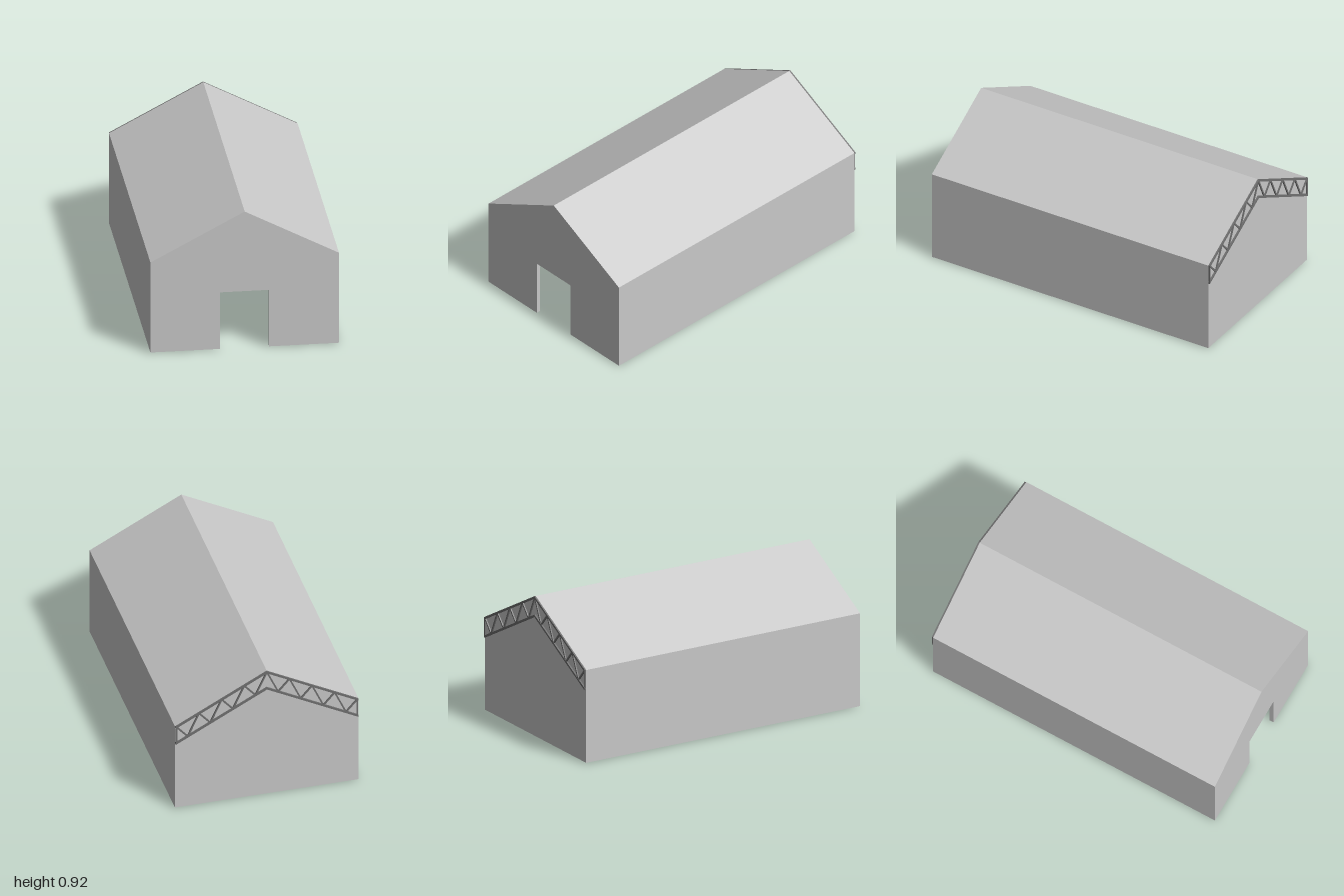
import * as THREE from 'three';

const HALF = 0.585, EAVE = 0.61, RIDGE = 0.92, FRONT = 1, BACK = -0.99, BASE = 0.005;
const SKIN = 0.006;

const mat = (name, color) => Object.assign(new THREE.MeshStandardMaterial({ color }), { name });

const polygon = (points) => new THREE.Shape(points.map(([x, y]) => new THREE.Vector2(x, y)));

// Extrude an outline in the front plane between two depths
function slab(shape, z0, z1) {
  const g = new THREE.ExtrudeGeometry(shape, { depth: z1 - z0, bevelEnabled: false });
  return g.translate(0, 0, z0);
}

// Chevron band following the roof pitch
function chevron(half, drop, thick) {
  const pitch = (RIDGE - EAVE) / HALF;
  const eave = RIDGE - half * pitch - drop, top = RIDGE - drop;
  return polygon([[-half, eave - thick], [0, top - thick], [half, eave - thick],
    [half, eave], [0, top], [-half, eave]]);
}

export function createModel() {
  const model = new THREE.Group();
  const cladding = mat('grey cladding', 0xc8c8c8);
  const steel = mat('dark steel', 0x707070);
  const crate = mat('black crate', 0x2d2d2d);

  const add = (parent, name, geometry, material, x = 0, y = 0, z = 0) => {
    const m = new THREE.Mesh(geometry, material);
    m.name = name;
    m.position.set(x, y, z);
    parent.add(m);
    return m;
  };

  // Gable walls, the front one notched for the doorway
  const eave = EAVE - SKIN, ridge = RIDGE - SKIN;
  const gableTop = [[HALF, BASE], [HALF, eave], [0, ridge], [-HALF, eave], [-HALF, BASE]];
  const door = [[-0.152, BASE], [-0.152, 0.385], [0.152, 0.385], [0.152, BASE]];
  add(model, 'frontWall', slab(polygon([...gableTop, ...door]), FRONT - 0.028, FRONT), cladding);
  add(model, 'backWall', slab(polygon(gableTop), BACK, BACK + 0.02), cladding);

  // Long side walls between the gables, with thin inner lining
  const z0 = BACK + 0.02, z1 = FRONT - 0.028;
  for (const [side, s] of [['left', 1], ['right', -1]]) {
    add(model, side + 'Wall', new THREE.BoxGeometry(0.02, eave - BASE, z1 - z0), cladding,
      s * (HALF - 0.01), (eave + BASE) / 2, (z0 + z1) / 2);
    add(model, side + 'Lining', new THREE.BoxGeometry(0.004, 0.49, 1.4), cladding,
      s * 0.562, 0.245, -0.22);
  }
  add(model, 'backLining', new THREE.BoxGeometry(1.12, 0.49, 0.004), cladding, 0, 0.245, -0.918);

  // Pitched roof skin
  add(model, 'roof', slab(chevron(HALF, 0, SKIN), BACK, FRONT), cladding);

  // Pitched lattice trusses; the last one stands outside the back wall
  const DEPTH = 0.135, CHORD = 0.015, THICK = 0.01, BAYS = 8;
  function truss(z, half, drop) {
    const group = new THREE.Group();
    group.name = 'roofTruss';
    const pitch = (RIDGE - EAVE) / HALF;
    const za = -THICK / 2, zb = THICK / 2;
    add(group, 'topChord', slab(chevron(half, drop, CHORD), za, zb), steel);
    add(group, 'bottomChord', slab(chevron(half, drop + DEPTH - CHORD, CHORD), za, zb), steel);
    const topAt = (x) => RIDGE - drop - CHORD / 2 - Math.abs(x) * pitch;
    const web = (xa, ya, xb, yb) => {
      const len = Math.hypot(xb - xa, yb - ya);
      const m = add(group, 'web', new THREE.BoxGeometry(len, 0.01, THICK * 0.8), steel,
        (xa + xb) / 2, (ya + yb) / 2, 0);
      m.rotation.z = Math.atan2(yb - ya, xb - xa);
    };
    const span = DEPTH - CHORD, end = half - 0.006;
    for (const s of [1, -1]) {
      web(s * end, topAt(end), s * end, topAt(end) - span);
      for (let i = 0; i < BAYS; i++) {
        const xa = s * end * (1 - i / BAYS), xb = s * end * (1 - (i + 1) / BAYS);
        const low = i % 2;
        web(xa, topAt(xa) - span * low, xb, topAt(xb) - span * (1 - low));
      }
    }
    group.position.z = z;
    model.add(group);
  }
  for (const z of [0.966, 0.483, -0.01, -0.502]) truss(z, 0.565, SKIN);
  truss(-0.995, 0.583, 0);

  // Crates on the floor
  for (const [x, z] of [[0.238, -0.195], [-0.238, -0.195], [0, -0.6]]) {
    add(model, 'crate', new THREE.BoxGeometry(0.135, 0.137, 0.135), crate, x, 0.0685, z);
  }
  return model;
}
